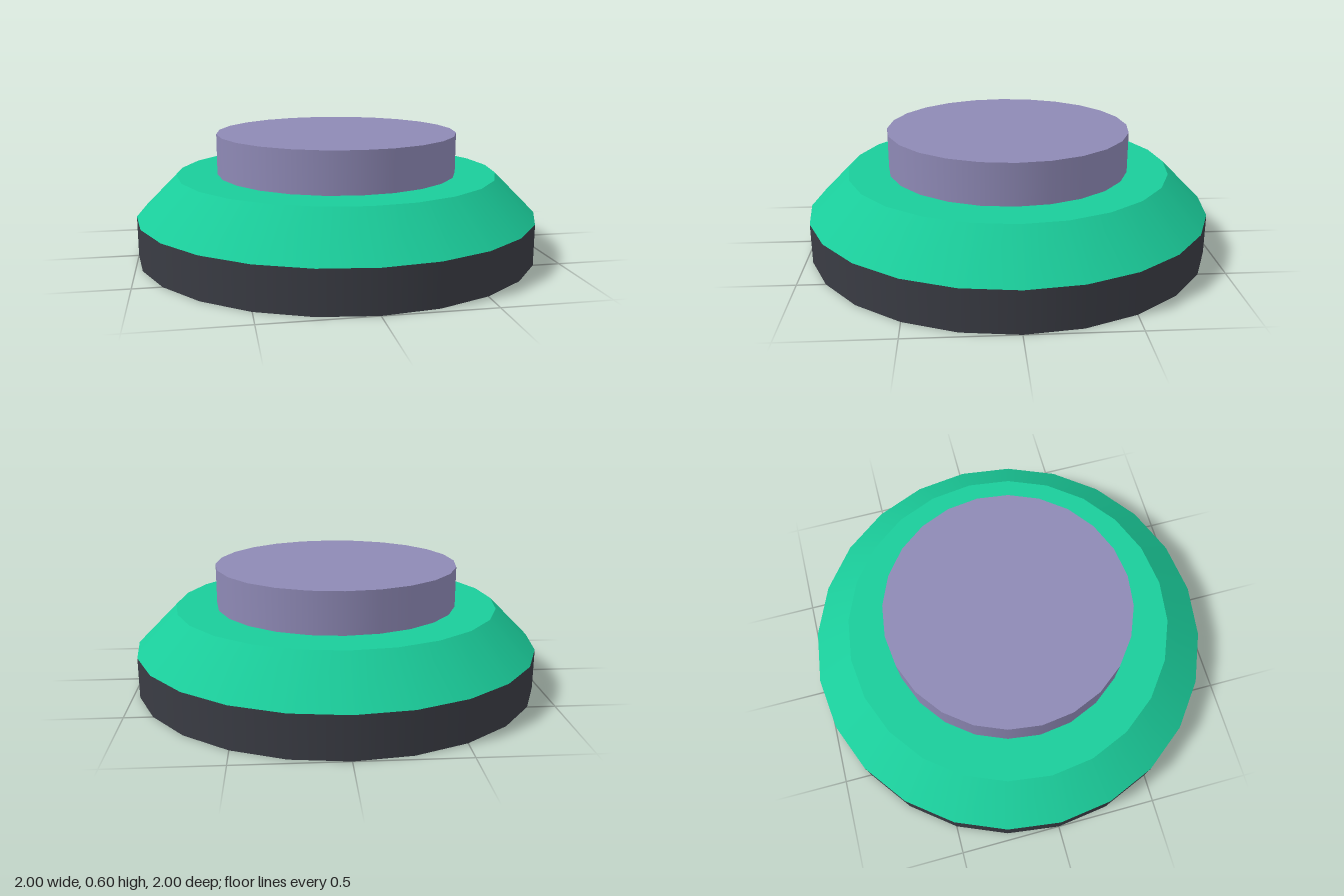
import * as THREE from 'three';

const SIDES = 24;
const TIER = 0.2;

export function createModel() {
  const model = new THREE.Group();
  model.name = 'pushButton';

  // Each tier: name, top radius, bottom radius, color
  const tiers = [
    ['base', 1, 1, 0x3a3c44],
    ['bevelledCollar', 0.8, 1, 0x1acc9a],
    ['buttonCap', 0.6, 0.6, 0x8e89b5],
  ];

  // Stack the tiers from the ground up
  tiers.forEach(([name, topRadius, bottomRadius, color], i) => {
    const mesh = new THREE.Mesh(
      new THREE.CylinderGeometry(topRadius, bottomRadius, TIER, SIDES),
      new THREE.MeshStandardMaterial({ color })
    );
    mesh.name = name;
    mesh.position.y = TIER * (i + 0.5);
    model.add(mesh);
  });

  return model;
}
